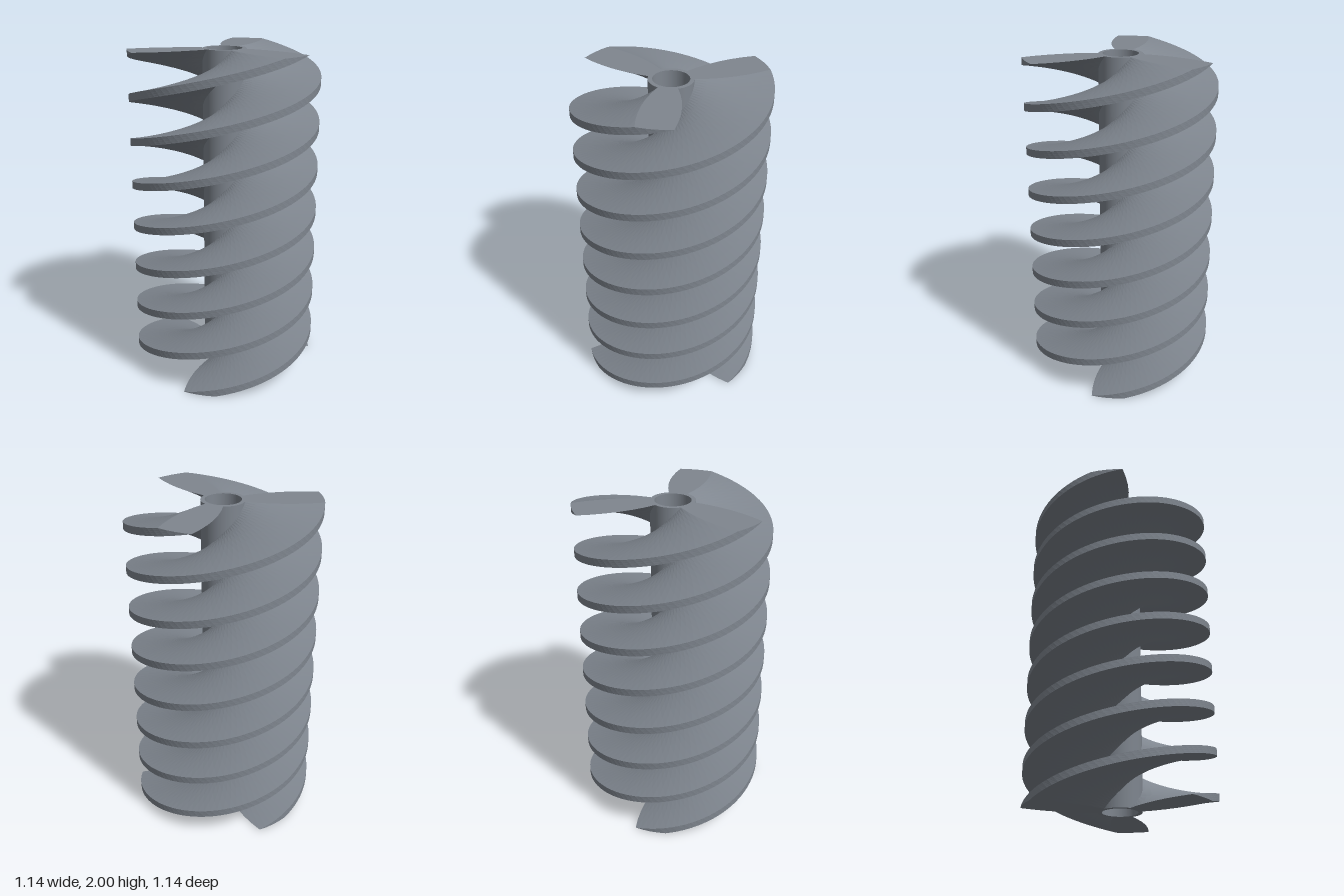
import * as THREE from 'three';

const HEIGHT = 2, LEAD = 0.8, STARTS = 3, STEPS = 225;
const BORE = 0.105, CORE = 0.13, OUTER = 0.57;
const RAD = Math.PI / 180;

// Horizontal section of one flight: wide at the root, narrow at the rim
function flightSection(centre) {
  const pts = [];
  const add = (r, deg) => {
    const a = (centre + deg) * RAD;
    pts.push(new THREE.Vector2(r * Math.sin(a), -r * Math.cos(a)));
  };
  const root = CORE - 0.006, radial = 6;
  const half = (t) => THREE.MathUtils.lerp(25.5, 10, t);
  const radius = (t) => THREE.MathUtils.lerp(root, OUTER, t);
  for (let i = 0; i <= radial; i++) add(radius(i / radial), -half(i / radial)); // lower flank
  for (let d = -5; d <= 5; d += 5) add(OUTER, d);                              // rim
  for (let i = radial; i >= 0; i--) add(radius(i / radial), half(i / radial));  // upper flank
  for (let d = 17; d >= -17; d -= 8.5) add(root, d);                           // seat on the core
  return new THREE.Shape(pts);
}

// Extrude the section upwards while turning it one revolution per lead
function flightGeometry(centre) {
  const geo = new THREE.ExtrudeGeometry(flightSection(centre), {
    depth: HEIGHT, steps: STEPS, bevelEnabled: false,
  });
  geo.rotateX(-Math.PI / 2);
  const p = geo.attributes.position;
  const v = new THREE.Vector3(), up = new THREE.Vector3(0, 1, 0);
  for (let i = 0; i < p.count; i++) {
    v.fromBufferAttribute(p, i);
    v.applyAxisAngle(up, (v.y / LEAD) * Math.PI * 2);
    p.setXYZ(i, v.x, v.y, v.z);
  }
  geo.computeVertexNormals();
  return geo;
}

export function createModel() {
  const group = new THREE.Group();
  group.name = 'tripleStartScrew';
  const steel = new THREE.MeshStandardMaterial({ color: 0x7f868f, flatShading: true });
  steel.name = 'steelGrey';

  // Hollow core: outer wall, bore and both end rings
  const ring = new THREE.Shape().absarc(0, 0, CORE, 0, Math.PI * 2, false);
  ring.holes.push(new THREE.Path().absarc(0, 0, BORE, 0, Math.PI * 2, true));
  const coreGeo = new THREE.ExtrudeGeometry(ring, {
    depth: HEIGHT, bevelEnabled: false, curveSegments: 64,
  });
  coreGeo.rotateX(-Math.PI / 2);
  const core = new THREE.Mesh(coreGeo, steel);
  core.name = 'hollowCore';
  group.add(core);

  // Three interleaved helical flights
  for (let i = 0; i < STARTS; i++) {
    const flight = new THREE.Mesh(flightGeometry(-30 + (i * 360) / STARTS), steel);
    flight.name = `helicalFlight${i + 1}`;
    group.add(flight);
  }
  return group;
}
